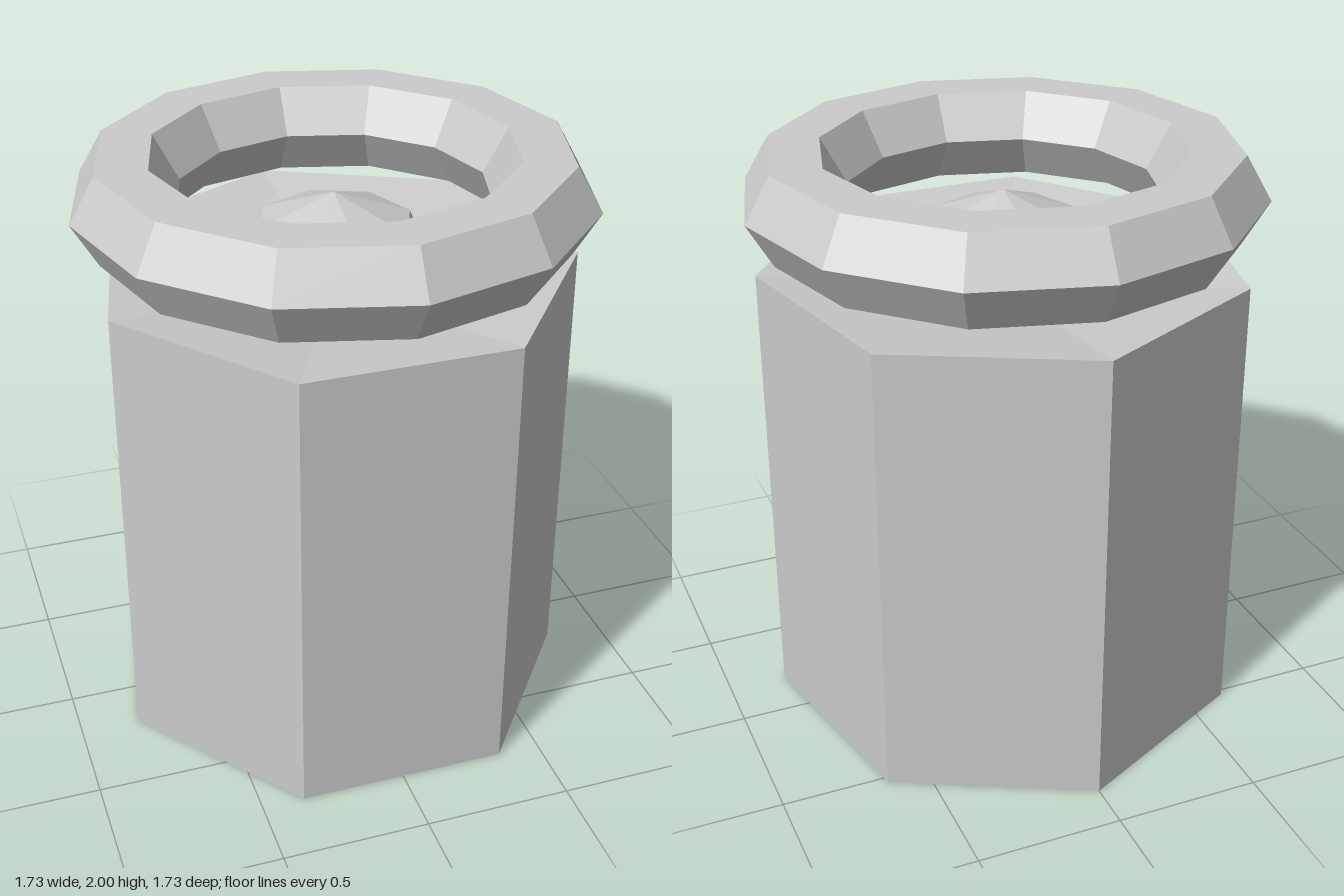
import * as THREE from 'three';

export function createModel() {
  const model = new THREE.Group();
  const material = new THREE.MeshStandardMaterial({ color: 0xcccccc, flatShading: true });

  const add = (name, geometry) => {
    const mesh = new THREE.Mesh(geometry, material);
    mesh.name = name;
    model.add(mesh);
    return mesh;
  };
  // Faceted solid of revolution; profile is [radius, height] pairs, first vertex at the back
  const turned = (profile, sides) =>
    new THREE.LatheGeometry(profile.map(([r, y]) => new THREE.Vector2(r, y)), sides, Math.PI);

  // Seven-sided body, hollow from below, with a shallow dished top
  const body = add('body', turned(
    [[0, 1.4], [0.535, 1.4], [0.535, 0], [0.84, 0], [0.84, 1.6], [0, 1.5]], 7));
  body.scale.x = 0.975;

  // Eight-sided tapered knob with a pointed cap, sitting in the dish
  add('knob', turned([[0, 1.53], [0.353, 1.53], [0.265, 1.75], [0, 1.85]], 8));

  // Floating ring with a hexagonal section
  const ring = add('ring', new THREE.TorusGeometry(0.693, 0.173, 6, 12));
  ring.rotation.x = Math.PI / 2;
  ring.position.y = 1.85;

  return model;
}
